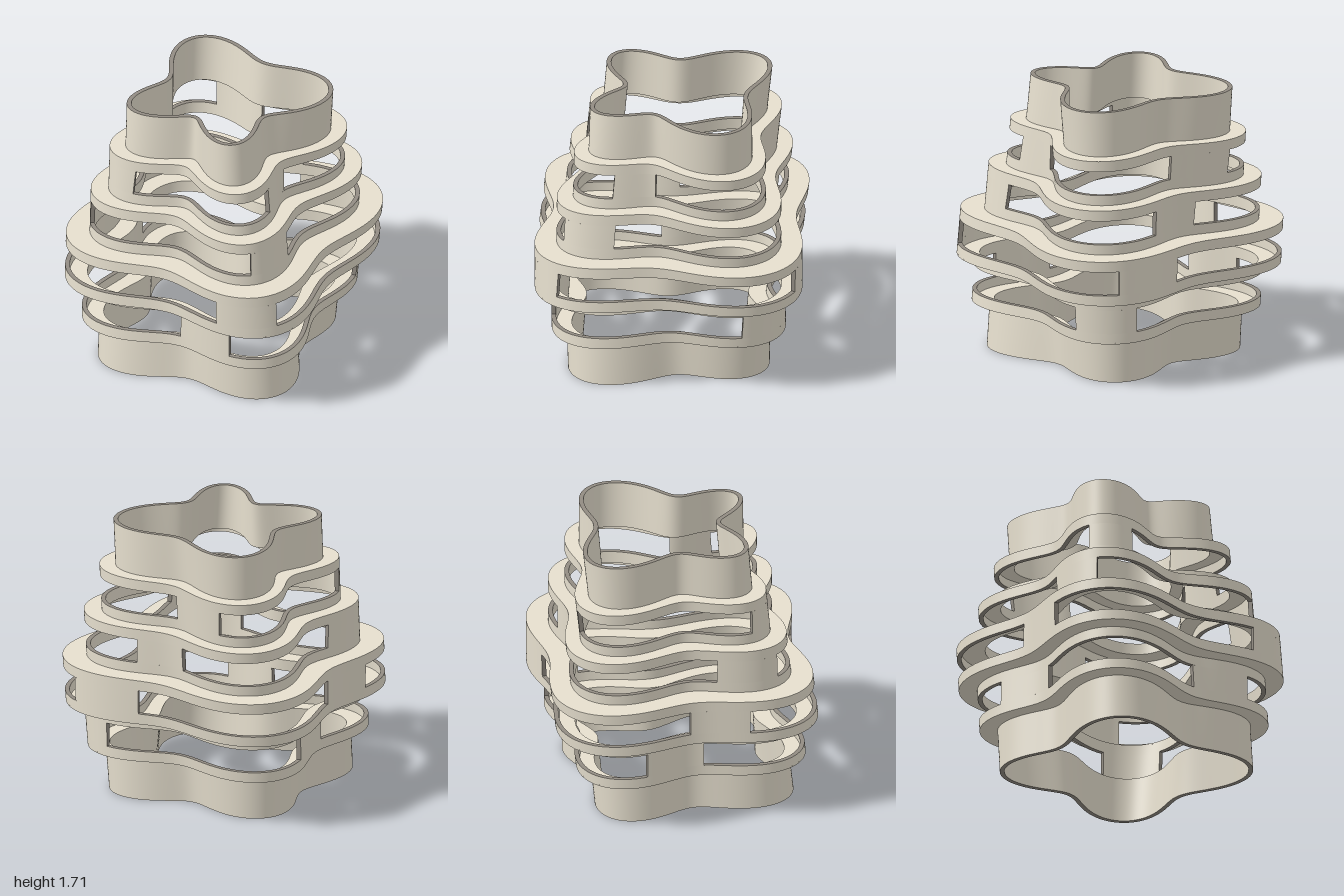
import * as THREE from 'three';
import { mergeGeometries } from 'three/addons/utils/BufferGeometryUtils.js';

const TIER = 0.2842, RIM = 0.066, WALL = 0.028, PLATE = 0.008, LOBE = 0.126;
const FULL = 320;
const rad = THREE.MathUtils.degToRad;

// Mean radius of each tier and the angular spans of its pillars in degrees (0 = +x, 90 = +z)
const TIERS = [
  { radius: 0.647 },
  { radius: 0.757, pillars: [[-10.5, 16], [110, 135.5], [221, 250]] },
  { radius: 0.87, pillars: [[-30, -3], [93, 115], [205.5, 230]] },
  { radius: 0.722, pillars: [[-49, -22], [78, 100.5], [188, 214]] },
  { radius: 0.612, pillars: [[-70, -39.5], [60.5, 84.5], [171.5, 194]] },
  { radius: 0.514 },
];

// Point of the four-lobed outline, which twists, skews and leans a little with height;
// inset moves it inwards at right angles to the wall
function point(radius, angle, y, inset) {
  const leanX = -0.047 + 0.0588 * y, leanZ = 0.037 - 0.055 * y;
  const twist = rad(-2.2 + 6.6 * y), skew = 0.05 + 0.085 * y;
  const half = (1 + Math.cos(angle - rad(70))) / 2;
  const lobes = 4 * (angle - twist - skew * half * half);
  const dLobes = 4 * (1 + skew * half * Math.sin(angle - rad(70)));
  const c = Math.cos(angle), s = Math.sin(angle);
  const r = radius + LOBE * Math.cos(lobes) + leanX * c + leanZ * s;
  const dr = -dLobes * LOBE * Math.sin(lobes) - leanX * s + leanZ * c;
  const tx = dr * c - r * s, tz = dr * s + r * c, len = Math.hypot(tx, tz);
  return [r * c - inset * tz / len, y, r * s + inset * tx / len];
}

function makeGeometry(positions, index) {
  const g = new THREE.BufferGeometry();
  g.setAttribute('position', new THREE.Float32BufferAttribute(positions.flat(), 3));
  g.setIndex(index);
  g.computeVertexNormals();
  return g;
}

// Surface between two rows of points
function strip(a, b, closed) {
  const n = a.length, index = [];
  for (let i = 0; i < (closed ? n : n - 1); i++) {
    const j = (i + 1) % n;
    index.push(i, n + i, j, n + i, n + j, j);
  }
  return makeGeometry([...a, ...b], index);
}

// Solid wall between two radii and two heights, as a full ring or over a span of degrees;
// group 0 holds the wall faces, group 1 the faces across its thickness
function band(outerRadius, innerRadius, y0, y1, span) {
  const closed = !span;
  const [from, to] = span || [0, 360];
  const steps = closed ? FULL : 28, count = closed ? FULL : steps + 1;
  const row = (radius, y, inset) => Array.from({ length: count }, (_, i) =>
    point(radius, rad(from + (to - from) * i / steps), y, inset));
  const ob = row(outerRadius, y0, 0), ot = row(outerRadius, y1, 0);
  const ib = row(innerRadius, y0, WALL), it = row(innerRadius, y1, WALL);
  const faces = [strip(ob, ot, closed), strip(it, ib, closed)];
  const edges = [strip(ot, it, closed), strip(ib, ob, closed)];
  if (!closed) {
    edges.push(makeGeometry([ob[steps], ot[steps], it[steps], ib[steps]], [0, 1, 2, 0, 2, 3]));
    edges.push(makeGeometry([ob[0], ot[0], it[0], ib[0]], [0, 2, 1, 0, 3, 2]));
  }
  return mergeGeometries([mergeGeometries(faces), mergeGeometries(edges)], true);
}

export function createModel() {
  const group = new THREE.Group();
  group.name = 'tieredLobedTower';
  const stone = new THREE.MeshStandardMaterial({ color: 0xe6dfce });
  stone.name = 'warm stone';
  const cut = new THREE.MeshStandardMaterial({ color: 0x928c83 });
  cut.name = 'grey cut edge';
  const add = (name, geometry, parent, edge = cut) => {
    const mesh = new THREE.Mesh(geometry, [stone, edge]);
    mesh.name = name;
    parent.add(mesh);
  };

  TIERS.forEach(({ radius, pillars }, k) => {
    const y0 = k * TIER, y1 = y0 + TIER;
    const tier = new THREE.Group();
    tier.name = 'tier' + (k + 1);
    group.add(tier);
    if (!pillars) {
      add('solidWall', band(radius, radius, y0, y1), tier);
    } else {
      // Open tier: two rims joined by three pillars
      add('lowerRim', band(radius, radius, y0, y0 + RIM), tier);
      add('upperRim', band(radius, radius, y1 - RIM, y1), tier);
      for (const span of pillars) add('pillar', band(radius, radius, y0 + RIM, y1 - RIM, span), tier);
    }
    // Flat ledge closing the step to the next tier, just covering the cut edges of both walls
    if (k < TIERS.length - 1) {
      const next = TIERS[k + 1].radius;
      const bottom = next > radius ? y1 - 0.001 : y1 + 0.001 - PLATE;
      add('ledge', band(Math.max(radius, next), Math.min(radius, next), bottom, bottom + PLATE), tier, stone);
    }
  });
  return group;
}
